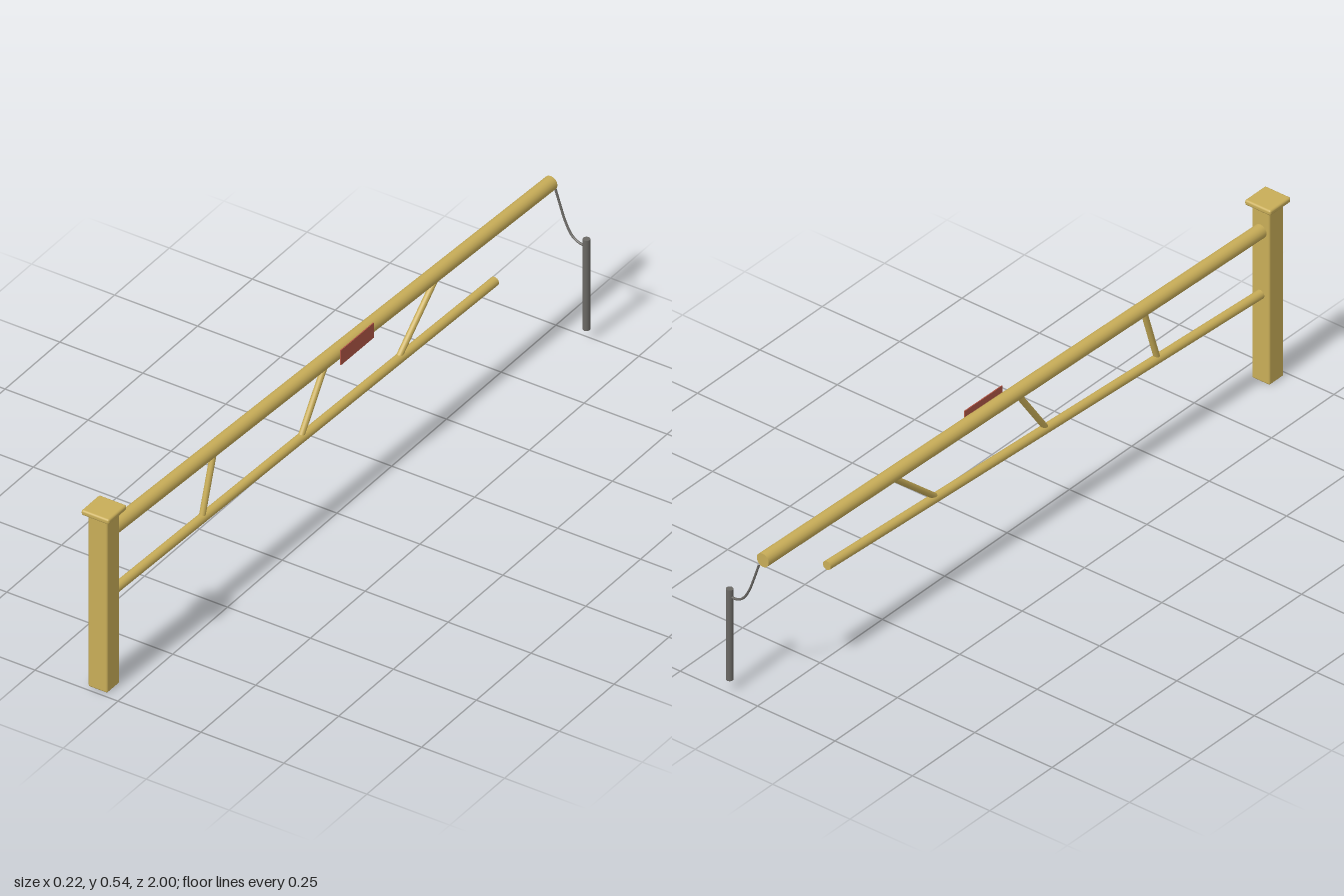
import * as THREE from 'three';
import { RoundedBoxGeometry } from 'three/addons/geometries/RoundedBoxGeometry.js';

const yellow = new THREE.MeshStandardMaterial({ color: 0xc8ad58 });
const red = new THREE.MeshStandardMaterial({ color: 0xb05545 });
const dark = new THREE.MeshStandardMaterial({ color: 0x6a6864 });

export function createModel() {
  const model = new THREE.Group();
  const V = (x, y, z) => new THREE.Vector3(x, y, z);

  function add(name, geometry, material, position = V(0, 0, 0)) {
    const mesh = new THREE.Mesh(geometry, material);
    mesh.name = name;
    mesh.position.copy(position);
    model.add(mesh);
    return mesh;
  }

  // Round bar between two points
  function bar(name, a, b, radius, material = yellow, sides = 20) {
    const geometry = new THREE.CylinderGeometry(radius, radius, a.distanceTo(b), sides);
    const mesh = add(name, geometry, material, a.clone().lerp(b, 0.5));
    mesh.quaternion.setFromUnitVectors(V(0, 1, 0), b.clone().sub(a).normalize());
    return mesh;
  }

  // Square post with overhanging cap
  add('post', new RoundedBoxGeometry(0.058, 0.53, 0.058, 2, 0.005), yellow, V(-0.07, 0.265, 0.958));
  add('postCap', new RoundedBoxGeometry(0.084, 0.016, 0.084, 3, 0.006), yellow, V(-0.07, 0.533, 0.958));

  // Swinging rails, converging toward the free end
  const topStart = V(-0.07, 0.457, 0.94), topEnd = V(-0.007, 0.439, -0.988);
  const lowStart = V(-0.07, 0.265, 0.94), lowEnd = V(-0.006, 0.287, -0.73);
  bar('topRail', topStart, topEnd, 0.02);
  bar('lowerRail', lowStart, lowEnd, 0.013);

  // Slanted struts, leaning further toward the free end
  for (const [zLow, zTop] of [[0.535, 0.477], [0.11, -0.012], [-0.31, -0.5]]) {
    const foot = lowStart.clone().lerp(lowEnd, (0.94 - zLow) / 1.67);
    const head = topStart.clone().lerp(topEnd, (0.94 - zTop) / 1.928);
    head.x = foot.x;
    bar('strut', foot, head, 0.0085, yellow, 16);
  }

  // Reflector plate on the outer side of the top rail
  const plate = add('plate', new THREE.BoxGeometry(0.003, 0.045, 0.148), red, V(-0.012, 0.449, -0.11));
  plate.rotation.y = -0.01;

  // Hanging cable and latch stake
  const cable = new THREE.CatmullRomCurve3([
    V(-0.001, 0.428, -0.995), V(0.014, 0.382, -0.995), V(0.034, 0.331, -0.993),
    V(0.055, 0.299, -0.991), V(0.075, 0.287, -0.99), V(0.1, 0.285, -0.988),
  ]);
  add('cable', new THREE.TubeGeometry(cable, 32, 0.0033, 8), dark);
  bar('stake', V(0.1, 0.033, -0.988), V(0.1, 0.308, -0.988), 0.0098, dark, 16);

  return model;
}
